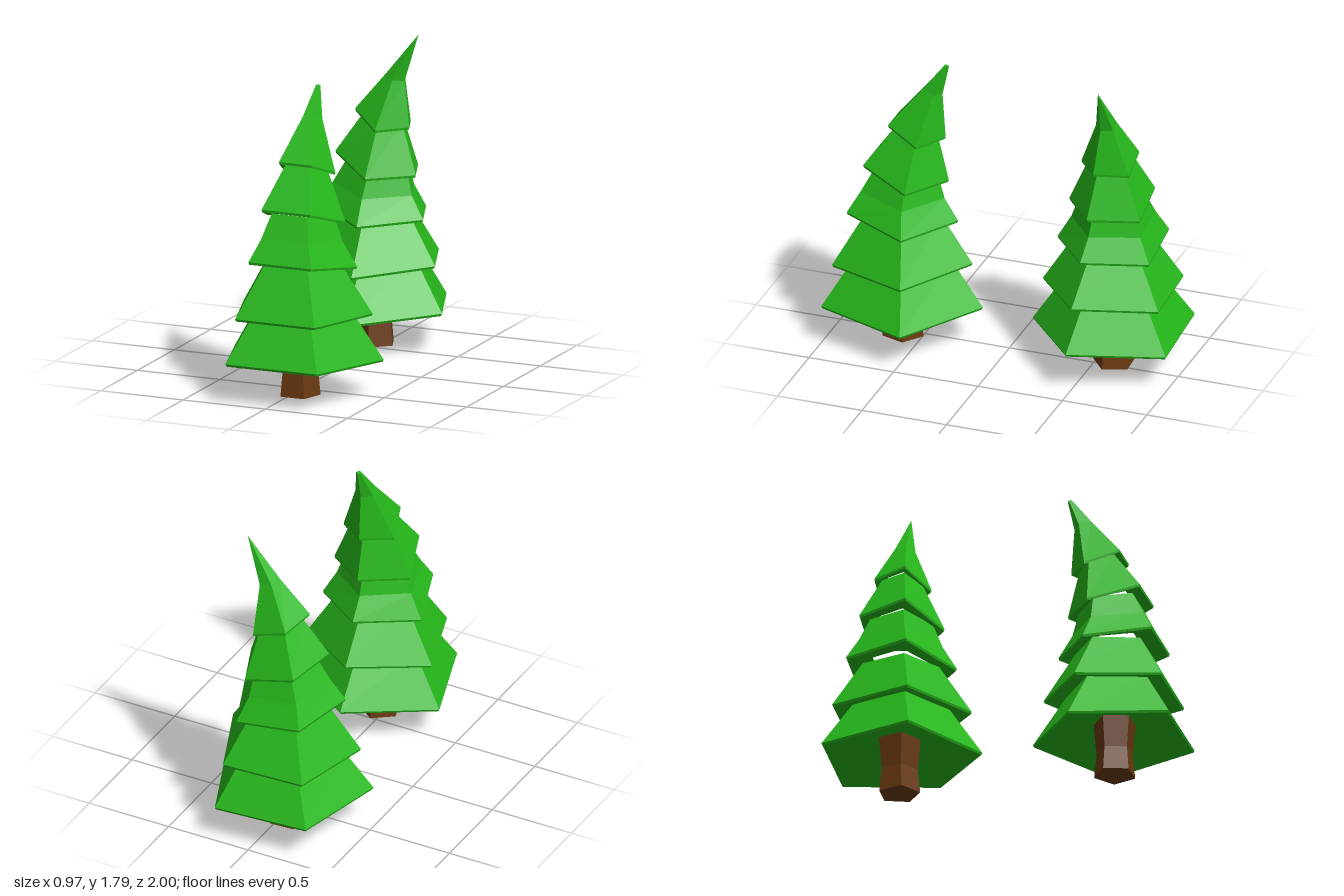
import * as THREE from 'three';

const SIDES = 5;
const green = new THREE.MeshStandardMaterial({ color: 0x26b81b, flatShading: true });
const brown = new THREE.MeshStandardMaterial({ color: 0x6b3a10, flatShading: true });

// Skin five-sided rings [radius, y, lean], listed from the underside up.
// lean shifts a ring towards the tree's lean direction; tilt and dish warp its height.
function loft(rings, tree, tilt = 0, dish = 0) {
  const rim = Math.max(...rings.map((r) => r[0]));
  const point = ([r, y, lean], i) => {
    const a = tree.phase + (i / SIDES) * Math.PI * 2;
    const u = (Math.cos(a - tree.leanAngle) * r) / rim;
    return [
      r * Math.cos(a) + lean * Math.cos(tree.leanAngle),
      y + tilt * u + dish * u * u,
      r * Math.sin(a) + lean * Math.sin(tree.leanAngle),
    ];
  };
  const pos = [];
  for (let j = 0; j < rings.length - 1; j++) {
    for (let i = 0; i < SIDES; i++) {
      const a = point(rings[j], i), b = point(rings[j], i + 1);
      const c = point(rings[j + 1], i), d = point(rings[j + 1], i + 1);
      if (rings[j][0] > 0) pos.push(...a, ...c, ...b);
      if (rings[j + 1][0] > 0) pos.push(...b, ...c, ...d);
    }
  }
  const geo = new THREE.BufferGeometry();
  geo.setAttribute('position', new THREE.Float32BufferAttribute(pos, 3));
  geo.computeVertexNormals();
  return geo;
}

function makeTree(tree) {
  const group = new THREE.Group();
  group.name = tree.name;
  group.position.set(tree.x, 0, tree.z);
  const add = (name, geo, mat) => {
    const mesh = new THREE.Mesh(geo, mat);
    mesh.name = name;
    group.add(mesh);
  };

  // Trunk, slightly pinched in the middle
  add('trunk', loft([[0, 0, 0], [0.12, 0, 0], [0.106, 0.14, 0], [0.125, 0.35, 0], [0, 0.35, 0]], tree), brown);

  // Foliage tiers: rim radius, rim height, tilt, dish, inner underside ring, rings above the rim
  const L = tree.lean;
  const tiers = [
    { r: 0.472, y: 0.2, tilt: 0, dish: 0.035, inner: [0.1, 0.33], up: [[0.28, 0.5, L[1]]] },
    { r: 0.41, y: 0.46, tilt: 0.008, dish: 0.03, up: [[0.225, 0.76, L[2]]] },
    { r: 0.325, y: 0.735, tilt: -0.03, dish: 0.045, up: [[0.245, 0.88, L[2]], [0.185, 1.03, L[3]]] },
    { r: 0.25, y: 0.995, tilt: -0.055, dish: 0.055, up: [[0.12, 1.29, L[4]]] },
    { r: 0.168, y: 1.255, tilt: -0.045, dish: 0.05, up: tree.top },
  ];
  tiers.forEach(({ r, y, tilt, dish, inner = [r * 0.5, y + 0.06], up }, i) => {
    const rings = [
      [...inner, L[i]],
      [r * 0.985, y - 0.006, L[i]],
      [r, y + 0.007, L[i]],
      ...up,
    ];
    add(`foliageTier${i + 1}`, loft(rings, tree, tilt, dish), green);
  });
  return group;
}

export function createModel() {
  const model = new THREE.Group();
  model.name = 'pineTrees';
  model.add(
    makeTree({
      name: 'frontTree', x: 0.034, z: 0.616, phase: -Math.PI / 2, leanAngle: -Math.PI / 2,
      lean: [0, 0, 0, 0.02, 0.083],
      top: [[0.058, 1.54, 0.175], [0.013, 1.71, 0.258], [0, 1.712, 0.26]],
    }),
    makeTree({
      name: 'backTree', x: -0.046, z: -0.604, phase: THREE.MathUtils.degToRad(14.5), leanAngle: 0,
      lean: [0, 0.01, 0.01, 0.03, 0.06],
      top: [[0.06, 1.53, 0.125], [0, 1.79, 0.26]],
    }),
  );
  return model;
}
